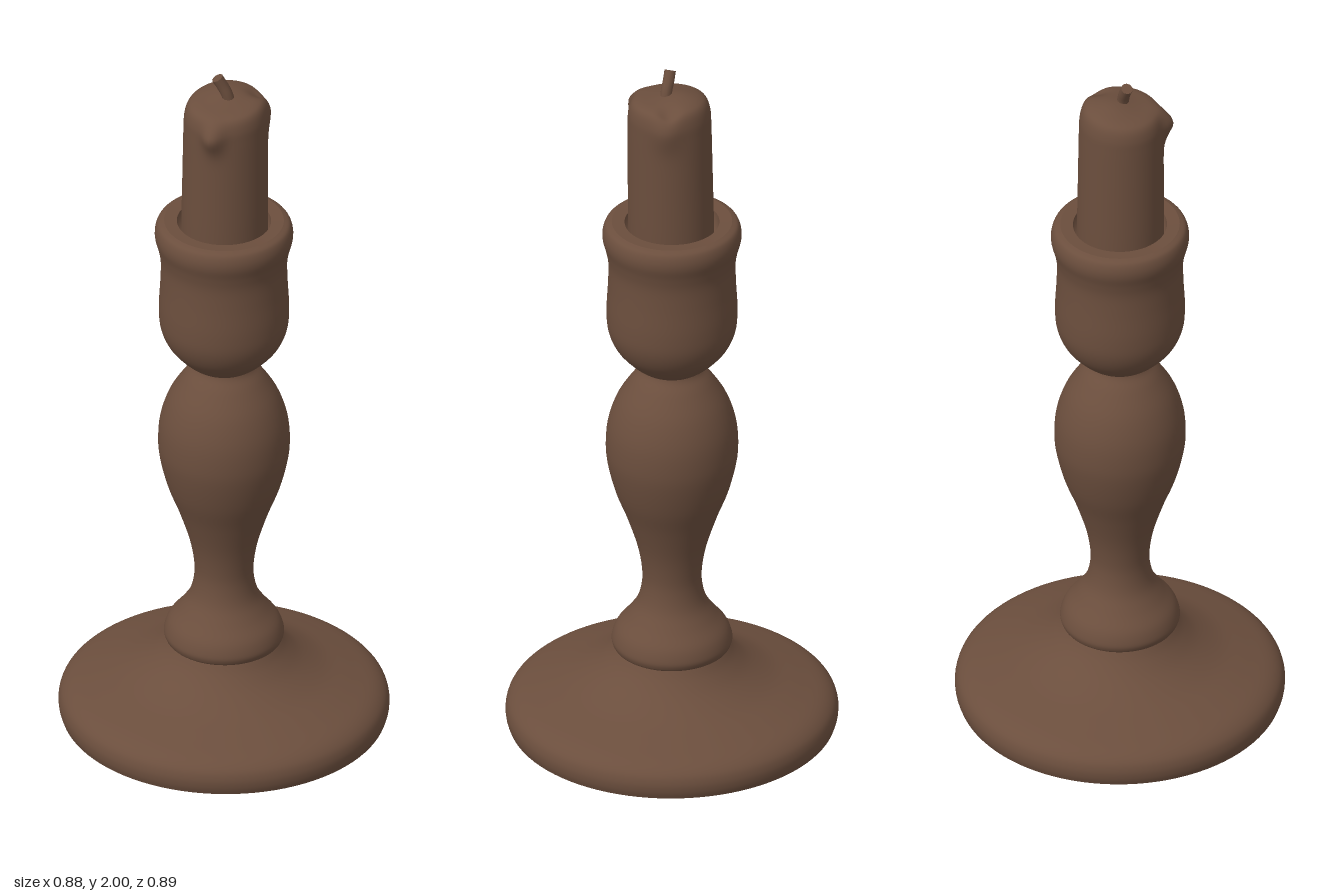
import * as THREE from 'three';

const wax = new THREE.MeshStandardMaterial({ color: 0x6b4e3d });
wax.name = 'brown';

// Smooth turned profile through [radius, height] points
function turned(points, samples, segments = 64) {
  const curve = new THREE.SplineCurve(points.map(([r, y]) => new THREE.Vector2(r, y)));
  const profile = curve.getPoints(samples);
  profile.forEach((p) => { p.x = Math.max(p.x, 0); });
  return new THREE.LatheGeometry(profile, segments);
}

// Smooth bump: 1 at the centre, fading with distance
const bump = (d, width) => Math.exp(-(d * d) / (width * width));

export function createModel() {
  const group = new THREE.Group();
  const add = (name, geometry, parent = group) => {
    const mesh = new THREE.Mesh(geometry, wax);
    mesh.name = name;
    parent.add(mesh);
    return mesh;
  };

  // Turned holder
  const holder = new THREE.Group();
  holder.name = 'holder';
  holder.scale.z = 1.012;
  group.add(holder);

  add('base', turned([
    [0.435, 0], [0.441, 0.02], [0.441, 0.045], [0.43, 0.07], [0.4, 0.092],
    [0.34, 0.113], [0.27, 0.137], [0.21, 0.17], [0.17, 0.205], [0.148, 0.235],
  ], 40, 96), holder);

  const underside = new THREE.CircleGeometry(0.435, 96);
  underside.rotateX(Math.PI / 2);
  add('underside', underside, holder);

  add('stem', turned([
    [0.13, 0.228], [0.15, 0.23], [0.158, 0.24], [0.16, 0.258], [0.148, 0.29],
    [0.118, 0.328], [0.092, 0.37], [0.08, 0.42], [0.08, 0.47], [0.092, 0.54],
    [0.12, 0.63], [0.15, 0.71], [0.17, 0.79], [0.176, 0.85], [0.17, 0.92],
    [0.147, 0.99], [0.11, 1.05], [0.085, 1.08], [0.078, 1.097],
  ], 80), holder);

  add('cup', turned([
    [0.07, 1.088], [0.085, 1.093], [0.115, 1.118], [0.15, 1.16], [0.17, 1.21],
    [0.174, 1.27], [0.17, 1.35], [0.169, 1.41], [0.175, 1.45], [0.184, 1.485],
    [0.184, 1.51], [0.176, 1.53], [0.16, 1.538],
  ], 64), holder);

  add('cupRim', new THREE.LatheGeometry([
    new THREE.Vector2(0.16, 1.538), new THREE.Vector2(0.126, 1.536),
  ], 64), holder);

  // Socket wall and floor, seen in the gap behind the candle
  add('socket', new THREE.LatheGeometry([
    new THREE.Vector2(0.126, 1.536), new THREE.Vector2(0.122, 1.46), new THREE.Vector2(0, 1.46),
  ], 64), holder);

  // Candle: slightly leaning, with melted shoulders and two wax drips
  const candle = turned([
    [0.117, 1.46], [0.117, 1.56], [0.116, 1.66], [0.115, 1.76], [0.114, 1.84],
    [0.112, 1.88], [0.103, 1.908], [0.085, 1.92], [0.05, 1.925], [0, 1.928],
  ], 70, 72);
  const pos = candle.attributes.position;
  for (let i = 0; i < pos.count; i++) {
    let x = pos.getX(i), y = pos.getY(i), z = pos.getZ(i);
    const r = Math.hypot(x, z);
    const edge = Math.min(r / 0.11, 1);
    const toward = (cx, cz) => {
      const len = Math.hypot(cx, cz);
      return r < 1e-6 ? 1 : Math.acos(THREE.MathUtils.clamp((x * cx + z * cz) / (r * len), -1, 1));
    };
    const swell = 1
      + 0.24 * bump(toward(-0.115, 0.07), 0.24) * bump(y - 1.865, 0.045) * edge
      + 0.1 * bump(toward(0.11, 0.05), 0.35) * bump(y - 1.87, 0.05) * edge;
    const melt = THREE.MathUtils.smoothstep(y, 1.82, 1.925);
    y += melt * (0.06 * x + 0.012 * bump(Math.hypot(x - 0.02, z + 0.03), 0.06)
      - 0.014 * bump(Math.hypot(x - 0.085, z - 0.03), 0.025));
    const lean = (y - 1.46) / 0.46;
    pos.setXYZ(i, x * swell, y, z * swell * 0.985 + 0.002 + 0.006 * lean);
  }
  candle.computeVertexNormals();
  // Match normals where the lathe closes on itself
  const rows = 71, normal = candle.attributes.normal, last = pos.count - rows;
  for (let j = 0; j < rows; j++) {
    const n = new THREE.Vector3().fromBufferAttribute(normal, j)
      .add(new THREE.Vector3().fromBufferAttribute(normal, last + j)).normalize();
    normal.setXYZ(j, n.x, n.y, n.z);
    normal.setXYZ(last + j, n.x, n.y, n.z);
  }
  add('candle', candle);

  // Bent wick with a flat cut end
  const path = new THREE.CatmullRomCurve3([
    new THREE.Vector3(0.004, 1.915, 0.02), new THREE.Vector3(-0.003, 1.945, 0.014),
    new THREE.Vector3(-0.011, 1.968, 0.006), new THREE.Vector3(-0.022, 1.992, -0.002),
  ]);
  add('wick', new THREE.TubeGeometry(path, 12, 0.016, 10));
  const tip = add('wickTip', new THREE.CircleGeometry(0.016, 10));
  tip.position.copy(path.getPoint(1));
  tip.lookAt(path.getPoint(1).add(path.getTangent(1)));

  return group;
}
